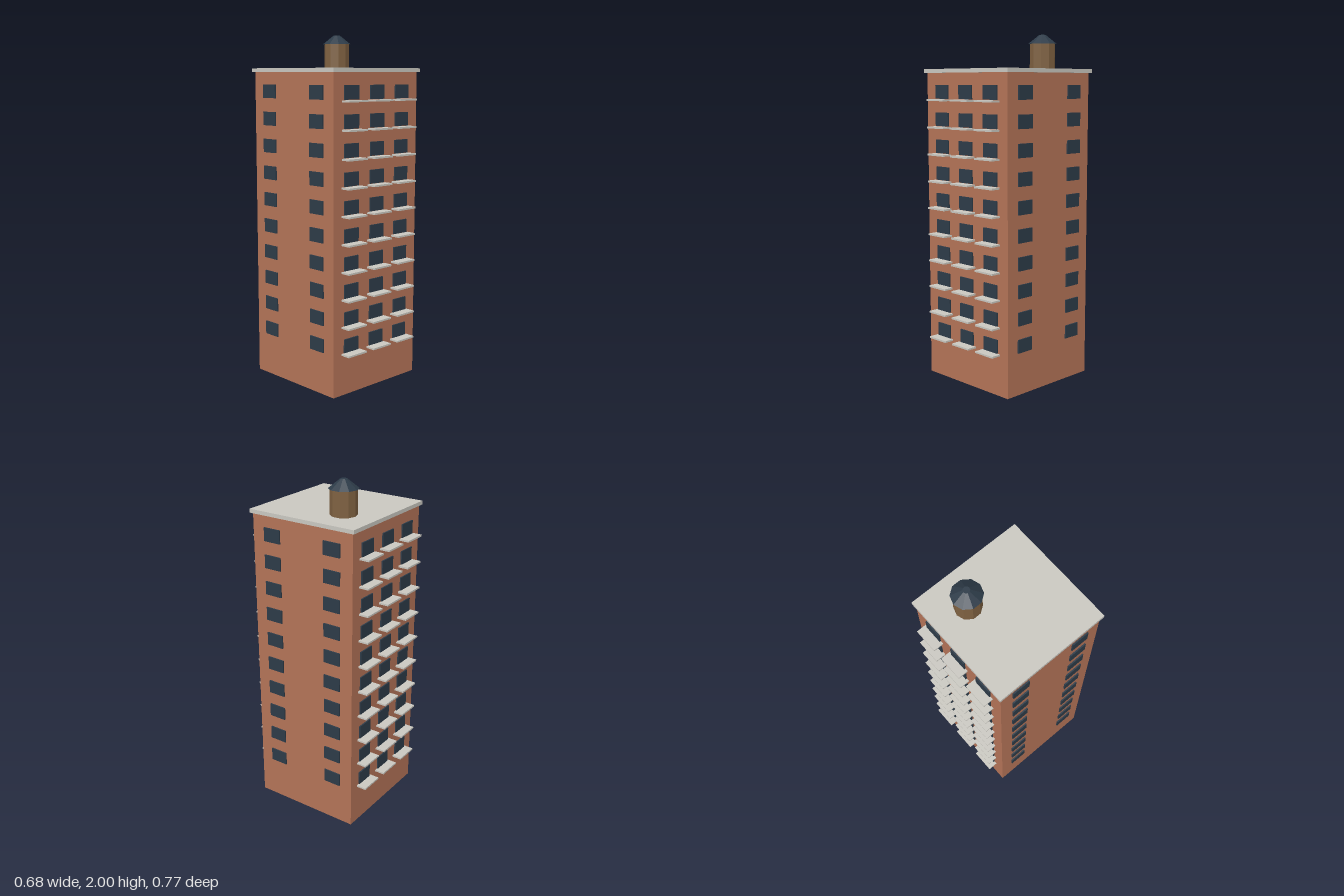
import * as THREE from 'three';

const mat = (name, color, flatShading = false) => {
  const m = new THREE.MeshStandardMaterial({ color, flatShading });
  m.name = name;
  return m;
};

export function createModel() {
  const brick = mat('brick', 0xb37357);
  const concrete = mat('concrete', 0xc9c7c0);
  const slate = mat('slate', 0x2d3b48, true);
  const wood = mat('wood', 0x7f6141, true);
  const glass = mat('paleGlass', 0x86a9b8);

  const HALF = 0.328;      // half width of the tower
  const WALL_TOP = 1.785;
  const FLOORS = 10, PITCH = 0.155, FIRST = 0.283;

  const model = new THREE.Group();
  model.name = 'apartmentTower';
  const add = (parent, name, geometry, material, x, y, z) => {
    const mesh = new THREE.Mesh(geometry, material);
    mesh.name = name;
    mesh.position.set(x, y, z);
    parent.add(mesh);
    return mesh;
  };

  // Brick tower with a glazed underside, and an overhanging roof slab
  add(model, 'tower', new THREE.BoxGeometry(HALF * 2, WALL_TOP, HALF * 2),
    [brick, brick, brick, glass, brick, brick], 0, WALL_TOP / 2, 0);
  add(model, 'roofSlab', new THREE.BoxGeometry(0.682, 0.022, 0.682), concrete, 0, WALL_TOP + 0.011, 0);

  // Each wall is laid out facing +z, then turned into place
  const windowGeo = new THREE.BoxGeometry(0.106, 0.077, 0.009);
  const balconyGeo = new THREE.BoxGeometry(0.14, 0.01, 0.06);
  const addWall = (name, angle, columns, balconies) => {
    const wall = new THREE.Group();
    wall.name = name;
    wall.rotation.y = angle;
    for (let floor = 0; floor < FLOORS; floor++) {
      const y = FIRST + floor * PITCH;
      for (const x of columns) {
        add(wall, 'window', windowGeo, slate, x, y, HALF + 0.0035);
        if (balconies) add(wall, 'balcony', balconyGeo, concrete, x, y - 0.046, HALF + 0.029);
      }
    }
    model.add(wall);
  };
  const S = 0.197;
  addWall('frontWall', 0, [-S, 0, S], true);
  addWall('backWall', Math.PI, [-S, 0, S], true);
  addWall('leftWall', Math.PI / 2, [-S, S], false);
  addWall('rightWall', -Math.PI / 2, [-S, S], false);

  // Ten-sided wooden water tank with a blunt conical cap
  const tank = new THREE.Group();
  tank.name = 'waterTank';
  tank.position.set(0.14, WALL_TOP + 0.022, -0.14);
  add(tank, 'tankBody', new THREE.CylinderGeometry(0.074, 0.074, 0.142, 10), wood, 0, 0.071, 0);
  add(tank, 'tankCap', new THREE.CylinderGeometry(0.019, 0.084, 0.051, 10), slate, 0, 0.1675, 0);
  model.add(tank);

  return model;
}
